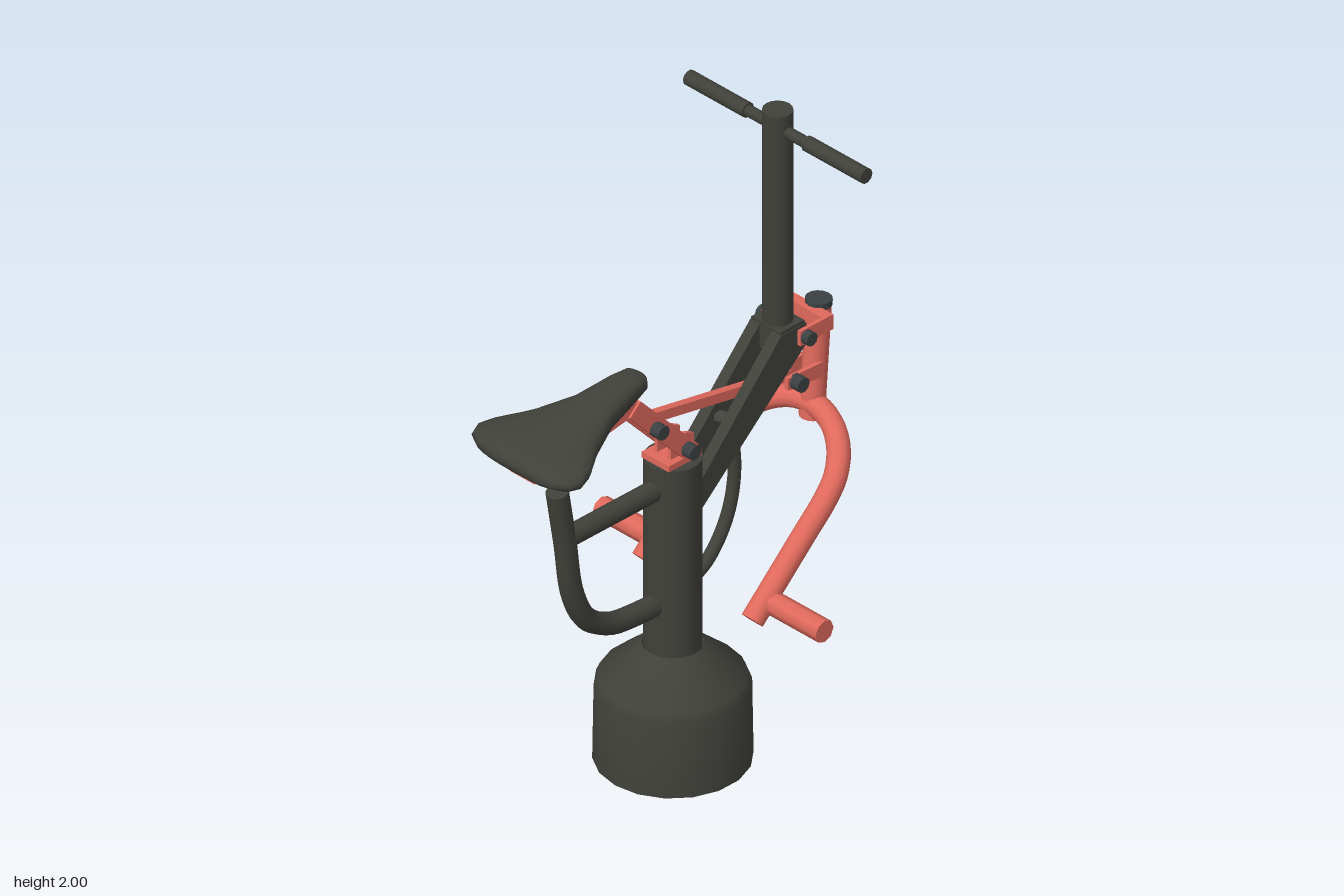
import * as THREE from 'three';
import { toCreasedNormals } from 'three/addons/utils/BufferGeometryUtils.js';

// Local frame: t = sideways, y = up, s = forward (towards the handlebar), stored as z = -s.
const P = (t, y, s) => new THREE.Vector3(t, y, -s);

export function createModel() {
  const dark = new THREE.MeshStandardMaterial({ color: 0x40413a });
  dark.name = 'charcoal';
  const red = new THREE.MeshStandardMaterial({ color: 0xe0695c });
  red.name = 'coral red';
  const steel = new THREE.MeshStandardMaterial({ color: 0x3b4143 });
  steel.name = 'bolt grey';

  const model = new THREE.Group();
  model.name = 'exerciseRider';
  const rider = new THREE.Group();
  rider.name = 'rider';
  rider.rotation.y = -0.588;
  rider.position.set(-0.025, 0, -0.027);
  model.add(rider);

  const add = (name, geometry, material) => {
    const mesh = new THREE.Mesh(geometry, material);
    mesh.name = name;
    rider.add(mesh);
    return mesh;
  };
  // Round rod between two points
  const rod = (name, a, b, r, material, sides = 14) => {
    const mesh = add(name, new THREE.CylinderGeometry(r, r, a.distanceTo(b), sides), material);
    mesh.position.copy(a).add(b).multiplyScalar(0.5);
    mesh.quaternion.setFromUnitVectors(new THREE.Vector3(0, 1, 0), b.clone().sub(a).normalize());
    return mesh;
  };
  // Plate cut from an (s, y) outline, w thick and centred on t
  const plate = (name, points, t, w, material) => {
    const shape = new THREE.Shape(points.map(([s, y]) => new THREE.Vector2(s, y)));
    const g = new THREE.ExtrudeGeometry(shape, { depth: w, bevelEnabled: false });
    g.translate(0, 0, t - w / 2).rotateY(Math.PI / 2);
    return add(name, g, material);
  };
  // Flat bar from a to b in the (s, y) plane, h high
  const bar = (name, a, b, h, t, w, material) => {
    const dx = b[0] - a[0], dy = b[1] - a[1], k = h / 2 / Math.hypot(dx, dy);
    const nx = -dy * k, ny = dx * k;
    return plate(name, [[a[0] - nx, a[1] - ny], [b[0] - nx, b[1] - ny],
      [b[0] + nx, b[1] + ny], [a[0] + nx, a[1] + ny]], t, w, material);
  };
  // Bent tube with closed ends
  const tube = (name, curve, r, material, steps = 32) => {
    add(name, new THREE.TubeGeometry(curve, steps, r, 12), material);
    for (const u of [0, 1]) {
      const p = curve.getPointAt(u), d = curve.getTangentAt(u).multiplyScalar(u ? 0.003 : -0.003);
      rod(name + 'End', p, p.clone().add(d), r, material, 12);
    }
  };

  // Hollow bell-shaped base and main post
  const bell = [[0.23, 0], [0.226, 0.25], [0.215, 0.275], [0.105, 0.37], [0.09, 0.385],
    [0.08, 0.37], [0.2, 0.27], [0.218, 0.25], [0.222, 0], [0.23, 0]];
  add('base', toCreasedNormals(new THREE.LatheGeometry(
    bell.map(([r, y]) => new THREE.Vector2(r, y)), 18), 0.6), dark);
  rod('mainPost', P(0, 0.2, 0), P(0, 1.015, 0), 0.085, dark, 18);

  // Slanted frame beams, head block and handle post
  for (const side of [-1, 1]) {
    plate('frameBeam', [[0.055, 0.84], [0.47, 1.21], [0.47, 1.28], [0.37, 1.28], [0.055, 0.94]],
      side * 0.044, 0.038, dark);
  }
  plate('headBlock', [[0.37, 1.2], [0.465, 1.2], [0.465, 1.29], [0.37, 1.29]], 0, 0.12, dark);
  rod('handlePost', P(0, 1.2, 0.417), P(0, 2, 0.417), 0.045, dark, 16);

  // Handlebar with grips
  rod('handlebar', P(-0.35, 1.94, 0.417), P(0.35, 1.94, 0.417), 0.018, dark, 10);
  for (const side of [-1, 1]) {
    rod('grip', P(side * 0.12, 1.94, 0.417), P(side * 0.36, 1.94, 0.417), 0.024, dark, 10);
  }

  // Rear hooked tube with brace, and the thin front hoop
  tube('rearHook', new THREE.CatmullRomCurve3([P(0, 1.1, -0.46), P(0, 0.92, -0.43),
    P(0, 0.73, -0.4), P(0, 0.62, -0.345), P(0, 0.56, -0.25), P(0, 0.545, -0.16), P(0, 0.54, -0.04)]),
  0.034, dark);
  rod('rearBrace', P(0, 0.93, -0.43), P(0, 0.93, 0), 0.032, dark);
  tube('frontHoop', new THREE.CatmullRomCurve3([P(0, 0.55, 0.05), P(0, 0.6, 0.14),
    P(0, 0.71, 0.215), P(0, 0.85, 0.245), P(0, 0.98, 0.23), P(0, 1.06, 0.19)]), 0.02, dark);

  // Swinging fork: upright tube, U-shaped legs and foot pegs
  rod('forkUpright', P(0, 0.9, 0.553), P(0, 1.27, 0.58), 0.038, red);
  rod('forkCap', P(0, 1.265, 0.58), P(0, 1.285, 0.581), 0.04, steel);
  const legs = [];
  const R = 0.222, L = 0.598, straight = L - R;
  const onFork = (t, w) => P(t, 0.53 + 0.695 * w, 0.115 + 0.728 * w);
  for (let i = 0; i < 4; i++) legs.push(onFork(-R, -0.02 + i * straight / 4));
  for (let i = 0; i <= 10; i++) {
    const a = Math.PI * i / 10;
    legs.push(onFork(-R * Math.cos(a), straight + R * Math.sin(a)));
  }
  for (let i = 3; i >= 0; i--) legs.push(onFork(R, -0.02 + i * straight / 4));
  tube('forkLegs', new THREE.CatmullRomCurve3(legs), 0.035, red, 60);
  for (const side of [-1, 1]) {
    rod('footPeg', P(side * 0.2, 0.555, 0.16), P(side * 0.452, 0.555, 0.16), 0.036, red, 8);
  }

  // Upper fork hinge
  for (const side of [-1, 1]) {
    plate('upperHingeSide', [[0.43, 1.225], [0.535, 1.225], [0.535, 1.275], [0.43, 1.275]],
      side * 0.074, 0.012, red);
    rod('upperHingeBolt', P(side * 0.055, 1.25, 0.452), P(side * 0.105, 1.25, 0.452), 0.022, steel, 10);
  }
  plate('upperHingeBack', [[0.525, 1.225], [0.56, 1.225], [0.56, 1.275], [0.525, 1.275]], 0, 0.16, red);

  // Lower fork hinge
  for (const side of [-1, 1]) {
    plate('lowerHingeSide', [[0.42, 1.06], [0.56, 1.045], [0.56, 1.095], [0.42, 1.1]],
      side * 0.032, 0.014, red);
    rod('lowerHingeBolt', P(side * 0.035, 1.08, 0.45), P(side * 0.072, 1.08, 0.45), 0.024, steel, 10);
  }

  // Long link between seat arm and fork
  bar('link', [-0.13, 1.195], [0.46, 1.08], 0.032, 0, 0.024, red);

  // Seat arm on its post bracket
  plate('bracketPlate', [[-0.07, 1.015], [0.06, 1.015], [0.06, 1.035], [-0.07, 1.035]], 0, 0.11, red);
  for (const side of [-1, 1]) {
    plate('bracketEar', [[-0.04, 1.03], [0.05, 1.03], [0.05, 1.085], [0.02, 1.1], [-0.04, 1.09]],
      side * 0.028, 0.012, red);
    bar('seatArm', [0.025, 1.04], [-0.205, 1.29], 0.058, side * 0.045, 0.024, red);
    for (const [s, y] of [[0, 1.065], [-0.125, 1.19]]) {
      rod('armBolt', P(side * 0.05, y, s), P(side * 0.092, y, s), 0.023, steel, 10);
    }
  }
  for (const [s, y] of [[0, 1.065], [-0.125, 1.19]]) {
    rod('armPin', P(-0.055, y, s), P(0.055, y, s), 0.014, steel, 10);
  }
  plate('seatRail', [[-0.19, 1.27], [-0.19, 1.31], [-0.42, 1.265], [-0.42, 1.235]], 0, 0.1, red);
  plate('seatMount', [[-0.4, 1.215], [-0.6, 1.215], [-0.6, 1.25], [-0.4, 1.25]], 0, 0.1, red);

  // Seat cushion lofted from rings: s, half width, bottom, top
  const rings = [[-0.128, 0, 1.345, 1.345], [-0.13, 0.028, 1.328, 1.36], [-0.145, 0.046, 1.312, 1.37],
    [-0.2, 0.056, 1.29, 1.372], [-0.32, 0.08, 1.26, 1.352], [-0.43, 0.135, 1.245, 1.335],
    [-0.52, 0.196, 1.236, 1.322], [-0.57, 0.215, 1.235, 1.315], [-0.605, 0.2, 1.237, 1.308],
    [-0.63, 0.155, 1.245, 1.297], [-0.64, 0.1, 1.255, 1.285], [-0.641, 0, 1.27, 1.27]];
  const N = 20, pos = [], idx = [];
  const soft = (v, e) => Math.sign(v) * Math.abs(v) ** e;
  rings.forEach(([s, w, y0, y1], j) => {
    for (let i = 0; i < N; i++) {
      const a = 2 * Math.PI * i / N;
      pos.push(w * soft(Math.cos(a), 0.8), (y0 + y1) / 2 + (y1 - y0) / 2 * soft(Math.sin(a), 0.8), -s);
      if (j === rings.length - 1) continue;
      const p = j * N + i, q = j * N + (i + 1) % N;
      idx.push(p, q, p + N, q, q + N, p + N);
    }
  });
  const seat = new THREE.BufferGeometry();
  seat.setAttribute('position', new THREE.Float32BufferAttribute(pos, 3));
  seat.setIndex(idx);
  seat.computeVertexNormals();
  add('seat', seat, dark);

  return model;
}
